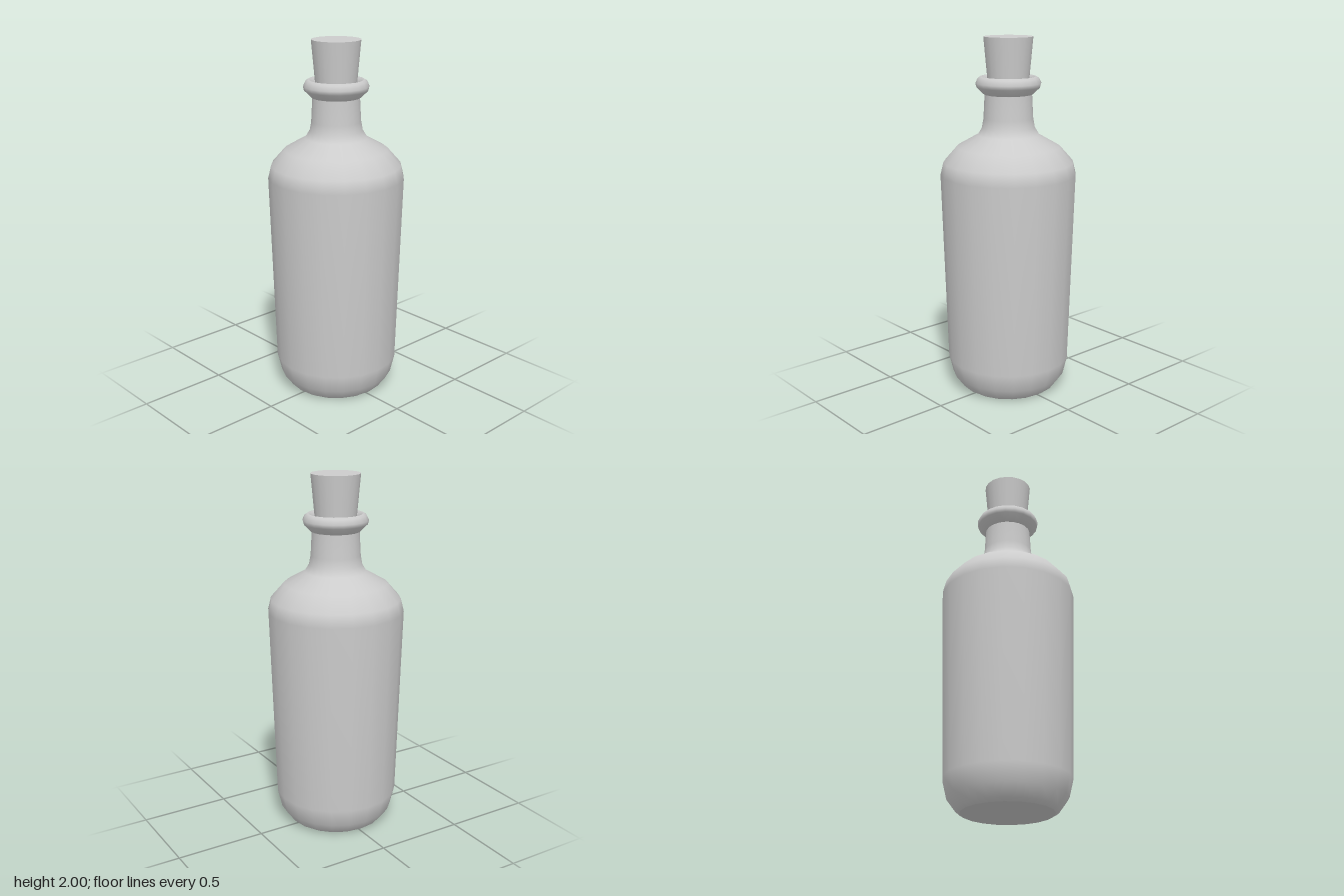
import * as THREE from 'three';

const SIDES = 20;

export function createModel() {
  const group = new THREE.Group();
  const material = new THREE.MeshStandardMaterial({ color: 0xcccccc, side: THREE.DoubleSide });

  // Revolve a profile of [radius, height] pairs, listed from bottom to top
  function addTurned(name, profile) {
    const points = profile.map(([r, y]) => new THREE.Vector2(r, y));
    const mesh = new THREE.Mesh(new THREE.LatheGeometry(points, SIDES), material);
    mesh.name = name;
    group.add(mesh);
  }

  // Flat underside, separate so that its rim stays sharp
  addTurned('base', [[0, 0], [0.25, 0]]);

  // Rounded heel, slightly flaring wall, shoulder and neck
  addTurned('body', [
    [0.25, 0], [0.275, 0.016], [0.322, 0.08], [0.346, 0.18],
    [0.377, 1.25], [0.36, 1.32], [0.285, 1.405],
    [0.17, 1.47], [0.146, 1.51], [0.137, 1.56], [0.13, 1.69],
  ]);

  // Rolled lip, turning inward to the mouth
  addTurned('lip', [
    [0.125, 1.69], [0.135, 1.692], [0.174, 1.73], [0.18, 1.752],
    [0.168, 1.778], [0.152, 1.788], [0.141, 1.785], [0.124, 1.765], [0.112, 1.73],
  ]);

  // Tapered stopper seated in the mouth
  const stopper = new THREE.Mesh(new THREE.CylinderGeometry(0.135, 0.106, 0.32, SIDES), material);
  stopper.name = 'stopper';
  stopper.position.y = 1.84;
  group.add(stopper);

  return group;
}
